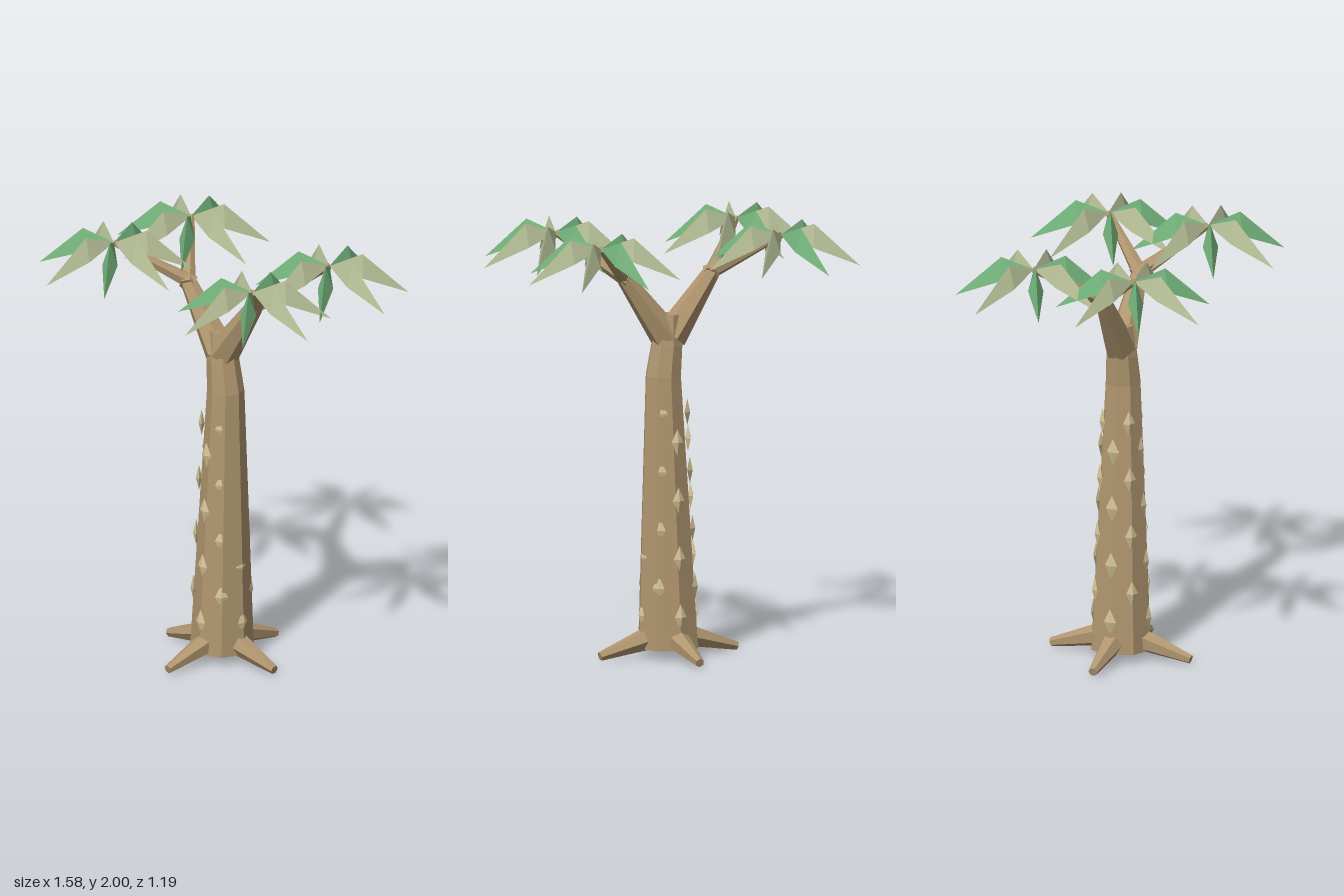
import * as THREE from 'three';

const AXIS = -0.02; // x of the tree's axis
const V = (x, y, z) => new THREE.Vector3(x, y, z);

export function createModel() {
  const mat = (name, color, side = THREE.FrontSide) => {
    const m = new THREE.MeshStandardMaterial({ color, side, flatShading: true });
    m.name = name;
    return m;
  };
  const bark = mat('bark', 0xb0966f);
  const scaleMat = mat('barkScale', 0xd3c194);
  const green = mat('leafGreen', 0x74b47c, THREE.DoubleSide);
  const olive = mat('leafOlive', 0xb6be96, THREE.DoubleSide);

  const tree = new THREE.Group();
  tree.name = 'palmTree';
  const add = (parent, name, geo, material) => {
    const mesh = new THREE.Mesh(geo, material);
    mesh.name = name;
    parent.add(mesh);
    return mesh;
  };

  // Tapered straight log between two points
  const log = (name, a, b, ra, rb, sides = 6) => {
    const dir = b.clone().sub(a);
    const mesh = add(tree, name, new THREE.CylinderGeometry(rb, ra, dir.length(), sides), bark);
    mesh.position.copy(a).lerp(b, 0.5);
    mesh.quaternion.setFromUnitVectors(V(0, 1, 0), dir.normalize());
    return mesh;
  };

  // Eight-sided trunk, with a slight bend near the top
  const profile = [[0, 0.045], [0.145, 0.045], [0.085, 1.3], [0.075, 1.44], [0.055, 1.58], [0, 1.58]];
  const trunk = new THREE.LatheGeometry(profile.map(([r, y]) => new THREE.Vector2(r, y)), 8);
  const p = trunk.attributes.position;
  for (let i = 0; i < p.count; i++) {
    const y = p.getY(i);
    const bend = y < 1.3 ? 0.025 * y / 1.3 : 0.025 * Math.max(0, 1 - (y - 1.3) / 0.2);
    p.setX(i, p.getX(i) + AXIS + bend);
  }
  add(tree, 'trunk', trunk, bark);

  // Diamond scales, staggered on the eight trunk edges
  const scales = new THREE.Group();
  scales.name = 'barkScales';
  tree.add(scales);
  const diamond = new THREE.OctahedronGeometry(1).scale(0.03, 0.062, 0.014);
  for (let e = 0; e < 8; e++) {
    const a = e * Math.PI / 4;
    for (let k = 0; k < 4; k++) {
      const y = (e % 2 ? 0.333 : 0.2) + k * 0.267;
      const r = 0.144 - 0.046 * y;
      const s = add(scales, 'barkScale', diamond, scaleMat);
      s.position.set(AXIS + r * Math.sin(a), y, r * Math.cos(a));
      s.rotation.y = a;
    }
  }

  // Four spreading roots
  for (let k = 0; k < 4; k++) {
    const a = k * Math.PI / 2, c = Math.cos(a), s = Math.sin(a);
    log('root', V(AXIS + 0.03 * c, 0.11, 0.03 * s), V(AXIS + 0.342 * c, 0.024, 0.342 * s), 0.064, 0.021);
  }

  // Folded frond pointing along +x: ridge on top, two sloping halves
  const root = [0, 0, 0], ridge = [0.15, 0.052, 0], tip = [0.36, -0.14, 0];
  const near = [0.15, -0.055, 0.035], far = [0.15, -0.055, -0.035];
  const frond = new THREE.BufferGeometry();
  frond.setAttribute('position', new THREE.Float32BufferAttribute([
    root, near, ridge, ridge, near, tip,
    root, ridge, far, ridge, tip, far,
  ].flat(), 3));
  frond.computeVertexNormals();

  // Two limbs, each forking into two branches with a crown of seven fronds
  for (const sx of [1, -1]) {
    const elbow = V(AXIS + sx * 0.222, 1.765, 0);
    log('limb', V(AXIS + sx * 0.01, 1.475, 0), elbow, 0.075, 0.038);
    for (const sz of [1, -1]) {
      const top = V(AXIS + sx * 0.45, 1.95, sz * 0.245);
      log('branch', elbow.clone().lerp(top, -0.08), top, 0.038, 0.016);
      const crown = new THREE.Group();
      crown.name = 'crown';
      crown.position.copy(top);
      tree.add(crown);
      for (let k = 0; k < 7; k++) {
        add(crown, 'frond', frond, k % 2 ? green : olive).rotation.y = -k * 2 * Math.PI / 7;
      }
    }
  }
  return tree;
}
